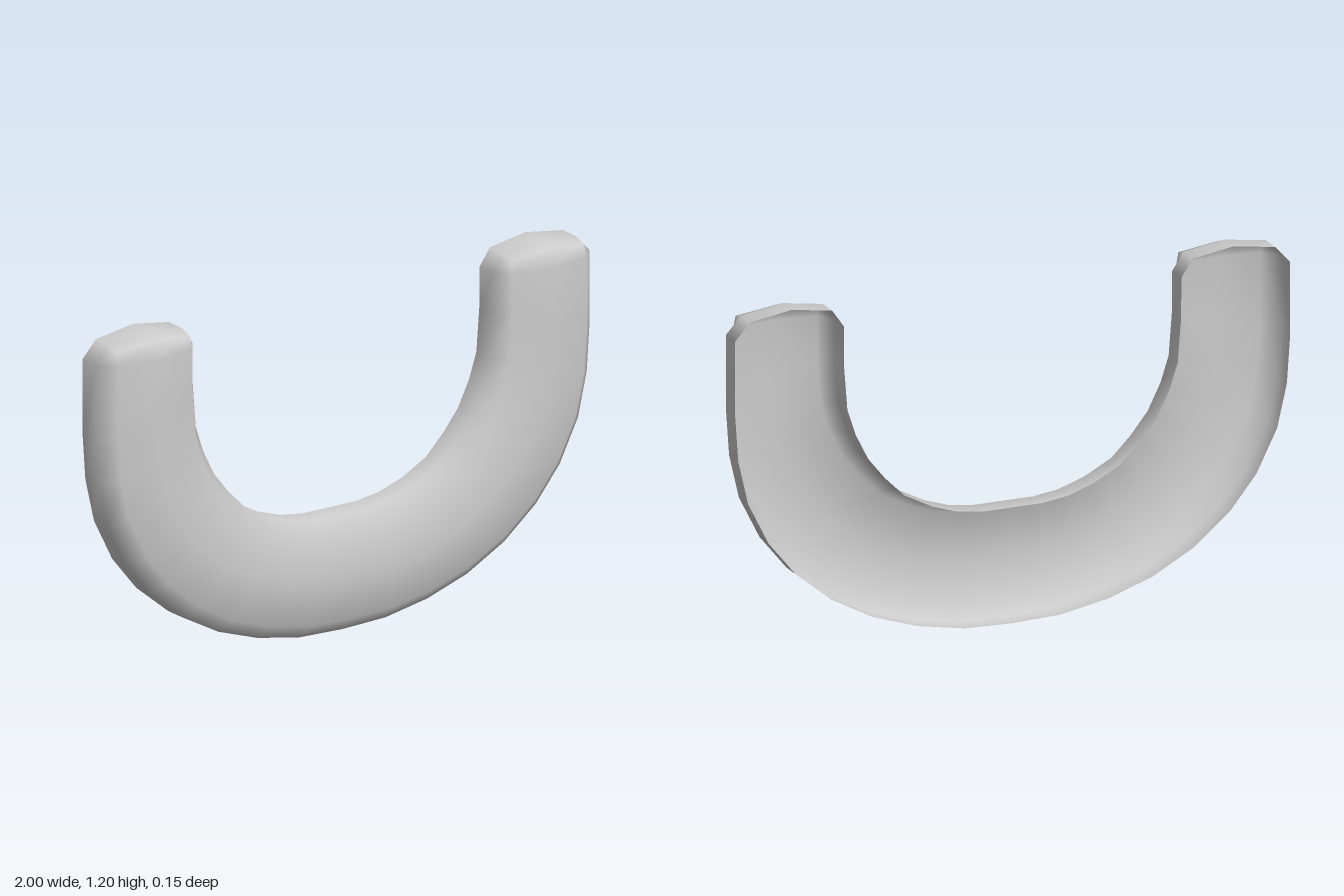
import * as THREE from 'three';
import { mergeVertices } from 'three/addons/utils/BufferGeometryUtils.js';

// Half of the U: inner and outer edge points from bottom centre to arm end
const INNER = [[0, 0.404], [0.108, 0.404], [0.2, 0.417], [0.29, 0.447], [0.39, 0.5], [0.46, 0.57],
  [0.52, 0.645], [0.565, 0.735], [0.595, 0.826], [0.607, 0.98], [0.608, 1.12]];
const OUTER = [[0, 0], [0.173, 0.006], [0.344, 0.038], [0.504, 0.092], [0.654, 0.174], [0.782, 0.28],
  [0.879, 0.4], [0.953, 0.548], [0.988, 0.7], [1, 0.87], [1, 1.12]];

// Open-backed section: fraction from inner to outer edge, depth
const BACK = -0.075;
const SECTION = [[0, BACK], [0, 0], [0.1, 0.055], [0.5, 0.075], [0.87, 0.055], [1, 0], [1, BACK]];

function halfRings() {
  const rings = INNER.map(([ix, iy], i) => {
    const [ox, oy] = OUTER[i];
    return SECTION.map(([t, z]) => [ix + (ox - ix) * t, iy + (oy - iy) * t, z]);
  });
  // Rounded arm end: a shoulder ring, closed onto the ridge along the middle
  const a = 0.65, m = 0.795, b = 0.945;
  rings.push([[a, 1.18, BACK], [a, 1.18, 0], [a, 1.165, 0.045], [m, 1.18, 0.056],
    [b, 1.165, 0.045], [b, 1.18, 0], [b, 1.18, BACK]]);
  const ridge = [[m, 1.203, BACK], [m, 1.203, 0], [m, 1.18, 0.056]];
  rings.push([...ridge, ridge[2], ridge[2], ridge[1], ridge[0]]);
  return rings;
}

export function createModel() {
  const right = halfRings();
  const left = right.slice(1).reverse().map(r => r.map(([x, y, z]) => [-x, y, z]));
  const rings = [...left, ...right];

  // Skin neighbouring rings together
  const n = SECTION.length, index = [];
  for (let i = 0; i < rings.length - 1; i++) {
    for (let j = 0; j < n - 1; j++) {
      const p = i * n + j, q = p + n;
      index.push(p, p + 1, q + 1, p, q + 1, q);
    }
  }
  let geometry = new THREE.BufferGeometry();
  geometry.setAttribute('position', new THREE.Float32BufferAttribute(rings.flat(2), 3));
  geometry.setIndex(index);
  geometry = mergeVertices(geometry, 1e-4);
  geometry.computeVertexNormals();

  const shell = new THREE.Mesh(geometry,
    new THREE.MeshStandardMaterial({ color: 0xcccccc, side: THREE.DoubleSide }));
  shell.name = 'curvedShell';
  const group = new THREE.Group();
  group.name = 'uShapedShell';
  group.add(shell);
  return group;
}
